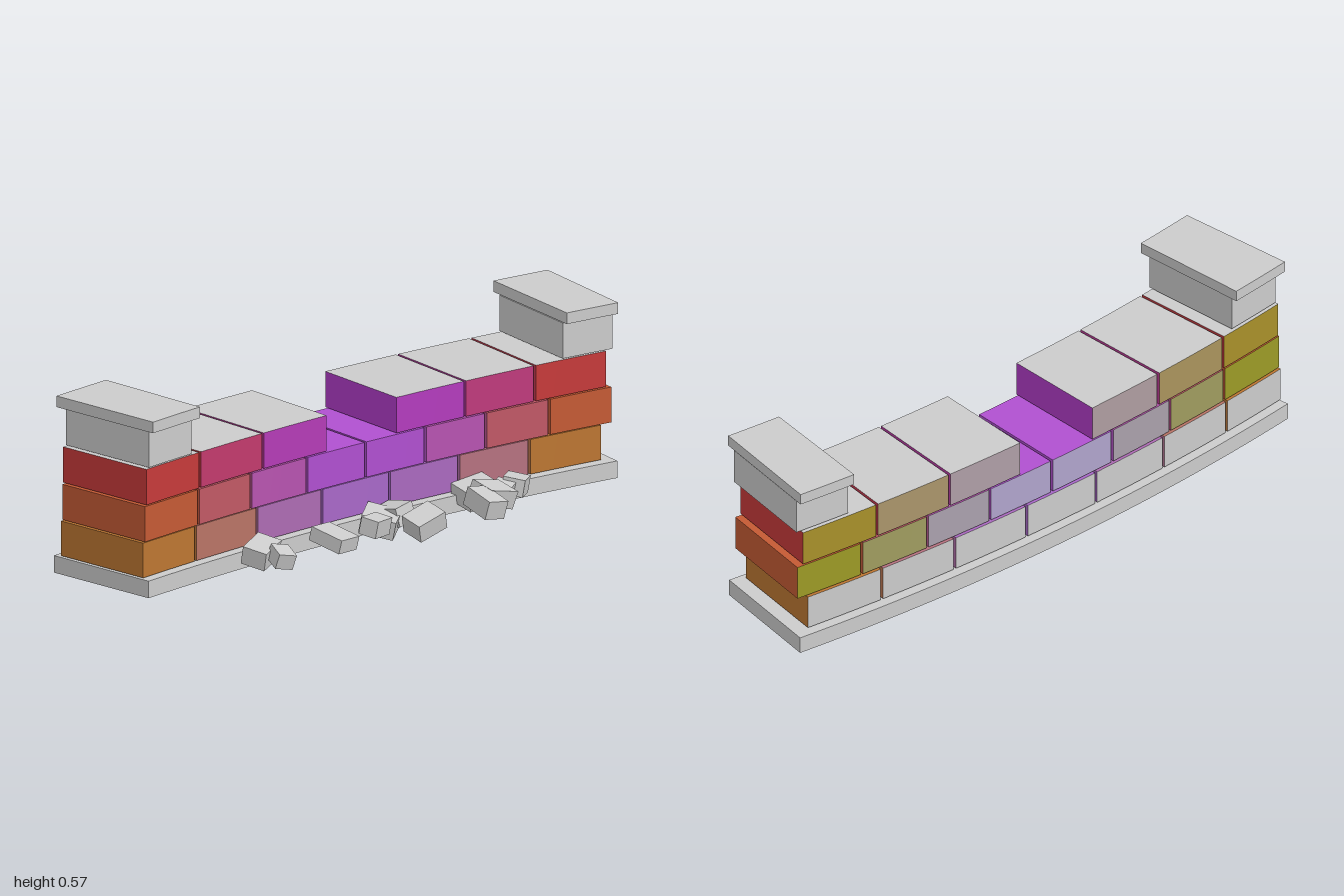
import * as THREE from 'three';

// The wall follows an arc whose centre lies far in front of it
const CENTRE_Z = 7.27;
const JOINT = 0.0012; // gap between bricks, as an angle

const grey = () => new THREE.MeshStandardMaterial({ color: 0xcccccc });
const tint = (color) => new THREE.MeshStandardMaterial({ color });
const mix = (a, b, t) => new THREE.Color(a).lerp(new THREE.Color(b), t);

// Box bent along the arc: angles a0..a1, heights y0..y1, radii rIn (front)..rOut (back)
function arcBlock(name, a0, a1, y0, y1, rIn, rOut, material = grey(), segments = 6) {
  const geo = new THREE.BoxGeometry(1, 1, 1, segments, 1, 1);
  const p = geo.attributes.position;
  for (let i = 0; i < p.count; i++) {
    const a = THREE.MathUtils.lerp(a0, a1, p.getX(i) + 0.5);
    const y = THREE.MathUtils.lerp(y0, y1, p.getY(i) + 0.5);
    const r = THREE.MathUtils.lerp(rOut, rIn, p.getZ(i) + 0.5);
    p.setXYZ(i, r * Math.sin(a), y, CENTRE_Z - r * Math.cos(a));
  }
  geo.computeVertexNormals();
  const mesh = new THREE.Mesh(geo, material);
  mesh.name = name;
  return mesh;
}

// Each course: heights, radii, brick runs (joint angles), and colours at middle and ends
const COURSES = [
  {
    name: 'lowerCourse', y: [0.06, 0.172], r: [7.229, 7.57],
    runs: [[-0.1317, -0.099, -0.062, -0.0241, 0.0137, 0.0515, 0.0888, 0.1256]],
    front: [0xa868c8, 0xbc7632], back: [0xcccccc, 0xcccccc], top: null,
  },
  {
    name: 'middleCourse', y: [0.177, 0.291], r: [7.222, 7.565],
    runs: [[-0.1315, -0.0982, -0.0664, -0.0337, -0.0004, 0.0326, 0.0651, 0.0985, 0.1303]],
    front: [0xb050d0, 0xc45a34], back: [0xb0a4cc, 0x9c9a26], top: null,
  },
  {
    name: 'upperCourse', y: [0.296, 0.411], r: [7.22, 7.565],
    runs: [[-0.131, -0.0975, -0.0597, -0.0226], [0.0166, 0.0538, 0.0908, 0.1275]],
    front: [0xb03cc8, 0xc63a3a], back: [0xb0a0b0, 0xa8902a], top: 0xcccccc,
  },
];

function course({ name, y, r, runs, front, back, top }) {
  const group = new THREE.Group();
  group.name = name;
  for (const joints of runs) {
    for (let i = 0; i < joints.length - 1; i++) {
      const a0 = joints[i] + (i > 0 ? JOINT / 2 : 0);
      const a1 = joints[i + 1] - (i < joints.length - 2 ? JOINT / 2 : 0);
      const shade = (pair, a) =>
        mix(pair[0], pair[1], THREE.MathUtils.smoothstep(Math.abs(a), 0.015, 0.105));
      const mid = (a0 + a1) / 2;
      const face = shade(front, mid);
      const materials = [
        tint(shade(front, a1)), tint(shade(front, a0)),
        tint(top ?? face), tint(face),
        tint(face), tint(shade(back, mid)),
      ];
      group.add(arcBlock('brick', a0, a1, y[0], y[1], r[0], r[1], materials, 4));
    }
  }
  return group;
}

// Fallen stones: x, y, z, width, height, depth, turn about y, tilt x, tilt z
const STONES = [
  [-0.55, 0.085, 0.195, 0.11, 0.06, 0.08, 0.45, 0.2, 0.15],
  [-0.535, 0.085, 0.275, 0.06, 0.05, 0.07, -0.3, 0.25, -0.2],
  [-0.262, 0.072, 0.203, 0.09, 0.045, 0.12, 0.2, 0.2, -0.08],
  [-0.105, 0.083, 0.215, 0.09, 0.055, 0.06, 0.35, 0.15, -0.1],
  [0.0, 0.052, 0.115, 0.11, 0.06, 0.11, 0.7, 0.2, 0.1],
  [0.065, 0.06, 0.105, 0.075, 0.06, 0.1, 0.1, -0.2, 0.15],
  [0.042, 0.08, 0.275, 0.105, 0.06, 0.085, 0.0, 0.2, 0.3],
  [0.305, 0.083, 0.257, 0.075, 0.06, 0.115, -0.06, 0.2, -0.15],
  [0.388, 0.078, 0.192, 0.12, 0.06, 0.09, 0.05, 0.2, -0.25],
  [0.4, 0.06, 0.1, 0.12, 0.06, 0.1, -0.05, 0.15, 0.12],
  [0.477, 0.055, 0.135, 0.06, 0.055, 0.06, 0.5, 0.2, 0.2],
  [0.54, 0.062, 0.123, 0.085, 0.055, 0.07, 0.65, 0.15, -0.1],
];

function rubble() {
  const group = new THREE.Group();
  group.name = 'rubble';
  for (const [x, y, z, w, h, d, turn, tiltX, tiltZ] of STONES) {
    const stone = new THREE.Mesh(new THREE.BoxGeometry(w, h, d), grey());
    stone.name = 'fallenStone';
    stone.position.set(x, y, z);
    stone.rotation.set(tiltX, turn, tiltZ, 'YXZ');
    group.add(stone);
  }
  return group;
}

export function createModel() {
  const model = new THREE.Group();
  model.name = 'brokenWall';

  // Curved plinth and the three brick courses
  model.add(arcBlock('plinth', -0.1319, 0.1319, 0, 0.055, 7.205, 7.598, grey(), 32));
  for (const c of COURSES) model.add(course(c));

  // End piers with overhanging cap slabs
  const piers = [
    ['right', [-0.1303, -0.1036], [-0.1318, -0.1023]],
    ['left', [0.1047, 0.1303], [0.1043, 0.1307]],
  ];
  for (const [side, block, cap] of piers) {
    model.add(arcBlock(side + 'PierBlock', block[0], block[1], 0.417, 0.532, 7.214, 7.559));
    model.add(arcBlock(side + 'PierCap', cap[0], cap[1], 0.536, 0.572, 7.187, 7.587));
  }

  model.add(rubble());
  return model;
}
